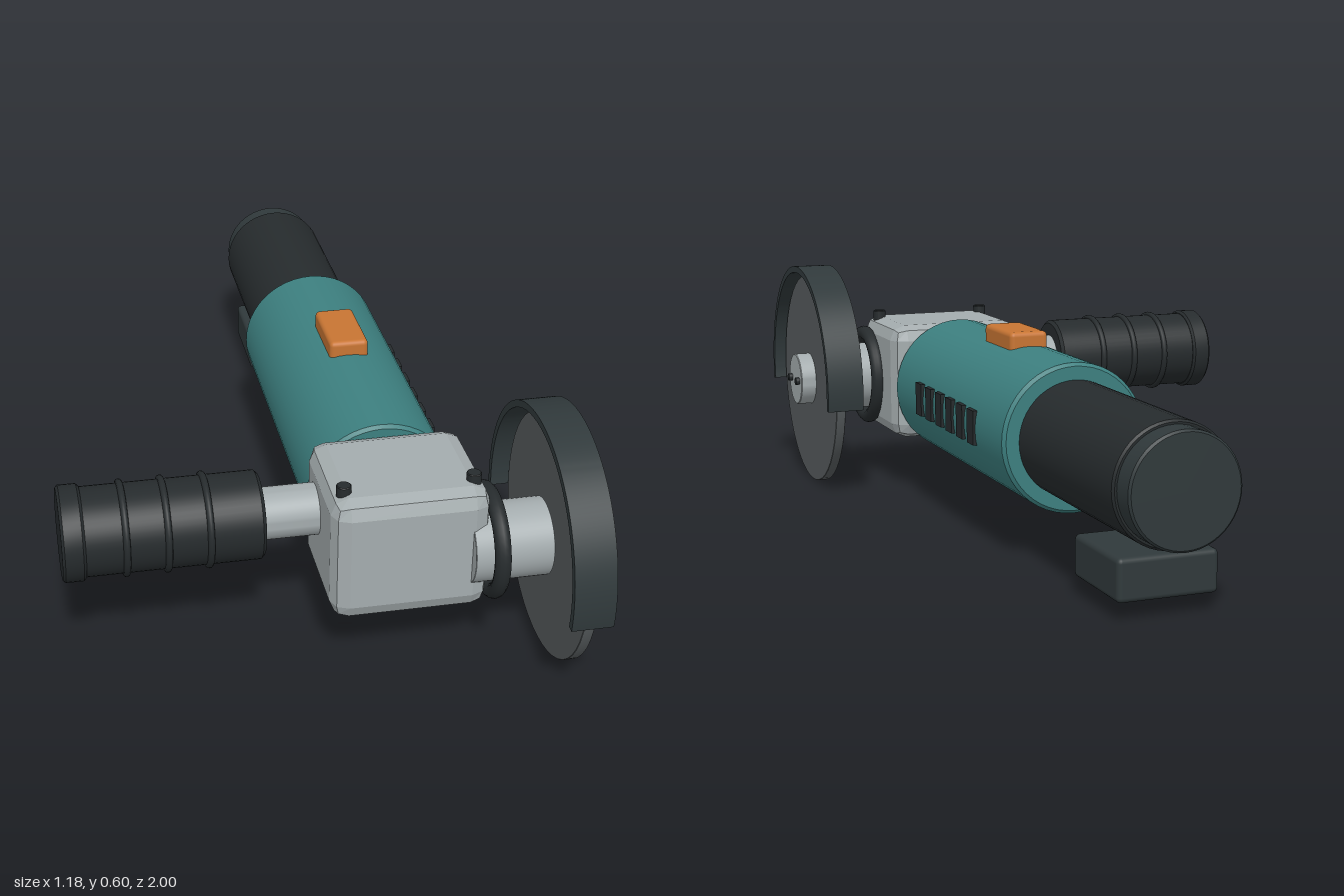
import * as THREE from 'three';
import { toCreasedNormals } from 'three/addons/utils/BufferGeometryUtils.js';
import { RoundedBoxGeometry } from 'three/addons/geometries/RoundedBoxGeometry.js';

const mat = (color, extra = {}) => new THREE.MeshStandardMaterial({ color, ...extra });

export function createModel() {
  const group = new THREE.Group();
  const teal = mat(0x3d8080), black = mat(0x262b2d), dark = mat(0x30393b);
  const metal = mat(0xa4acae), orange = mat(0xc87533), abrasive = mat(0x565b5d);
  const housing = mat(0xa4acae, { flatShading: true });

  const add = (name, geometry, material, x = 0, y = 0, z = 0) => {
    const mesh = new THREE.Mesh(geometry, material);
    mesh.name = name;
    mesh.position.set(x, y, z);
    group.add(mesh);
    return mesh;
  };

  // Solid turned part running from a to b along an axis, with a small edge bevel
  const turned = (name, material, axis, a, b, r, [x, y, z], bevel = 0.005) => {
    const profile = [[0, a], [r - bevel, a], [r, a + bevel], [r, b - bevel], [r - bevel, b], [0, b]];
    const geo = new THREE.LatheGeometry(profile.map(p => new THREE.Vector2(...p)), 48);
    if (axis === 'x') geo.rotateZ(-Math.PI / 2);
    if (axis === 'z') geo.rotateX(Math.PI / 2);
    return add(name, toCreasedNormals(geo, 0.5), material, x, y, z);
  };
  const ringX = (name, material, r, tube, x, y, z) =>
    add(name, new THREE.TorusGeometry(r, tube, 12, 48).rotateY(Math.PI / 2), material, x, y, z);
  const block = (name, material, size, pos, radius, segments = 3) =>
    add(name, new RoundedBoxGeometry(...size, segments, radius), material, ...pos);

  // Motor body and rear grip
  const body = [0.182, 0.287, 0];
  turned('motorBody', teal, 'z', -0.405, 0.435, 0.179, body, 0.008);
  turned('rearGrip', black, 'z', -0.94, -0.39, 0.139, body);
  turned('rearCap', dark, 'z', -1, -0.93, 0.129, body);
  block('rearFoot', dark, [0.234, 0.097, 0.24], [0.182, 0.089, -0.8], 0.012);
  block('switch', orange, [0.098, 0.065, 0.192], [0.185, 0.469, -0.024], 0.012);
  for (let i = 0; i < 6; i++) {
    add('vent', new THREE.BoxGeometry(0.03, 0.084, 0.046), black, 0.351, 0.291, 0.218 - i * 0.0815);
  }

  // Gear housing with its two bolts
  block('gearHousing', housing, [0.365, 0.309, 0.315], [0.1825, 0.2975, 0.588], 0.04, 1);
  for (const x of [0.035, 0.333]) turned('bolt', black, 'y', 0.43, 0.47, 0.017, [x, 0, 0.678], 0.002);

  // Spindle, disc and clamping nut
  const axle = [0, 0.287, 0.686];
  turned('spindleNeck', metal, 'x', 0.32, 0.503, 0.091, axle, 0.001);
  ringX('neckCollar', black, 0.118, 0.019, 0.374, 0.289, 0.682);
  turned('innerFlange', metal, 'x', 0.49, 0.515, 0.05, axle, 0.001);
  turned('disc', abrasive, 'x', 0.511, 0.536, 0.287, axle, 0.001);
  turned('clampNut', metal, 'x', 0.53, 0.577, 0.07, axle, 0.002);
  for (const dz of [-0.04, 0.04]) {
    turned('nutPin', black, 'x', 0.57, 0.588, 0.01, [0, 0.287, 0.686 + dz], 0.001);
  }

  // Curved guard band over the upper half of the disc
  const dip = 0.14;
  const band = new THREE.Shape();
  band.absarc(0, 0, 0.314, -dip, Math.PI + dip, false);
  band.absarc(0, 0, 0.297, Math.PI + dip, -dip, true);
  const guard = new THREE.ExtrudeGeometry(band, { depth: 0.096, bevelEnabled: false, curveSegments: 48 });
  guard.rotateY(Math.PI / 2);
  add('discGuard', toCreasedNormals(guard, 0.5), dark, 0.47, 0.287, 0.686);

  // Side handle with raised ribs
  const side = [0, 0.33, 0.545];
  turned('handleRod', metal, 'x', -0.15, 0.02, 0.061, side, 0.001);
  turned('sideGrip', black, 'x', -0.545, -0.13, 0.103, side, 0.008);
  turned('sideGripCap', black, 'x', -0.59, -0.537, 0.111, side, 0.006);
  for (const x of [-0.446, -0.352, -0.257]) ringX('gripRib', black, 0.104, 0.008, x, 0.33, 0.545);

  return group;
}
